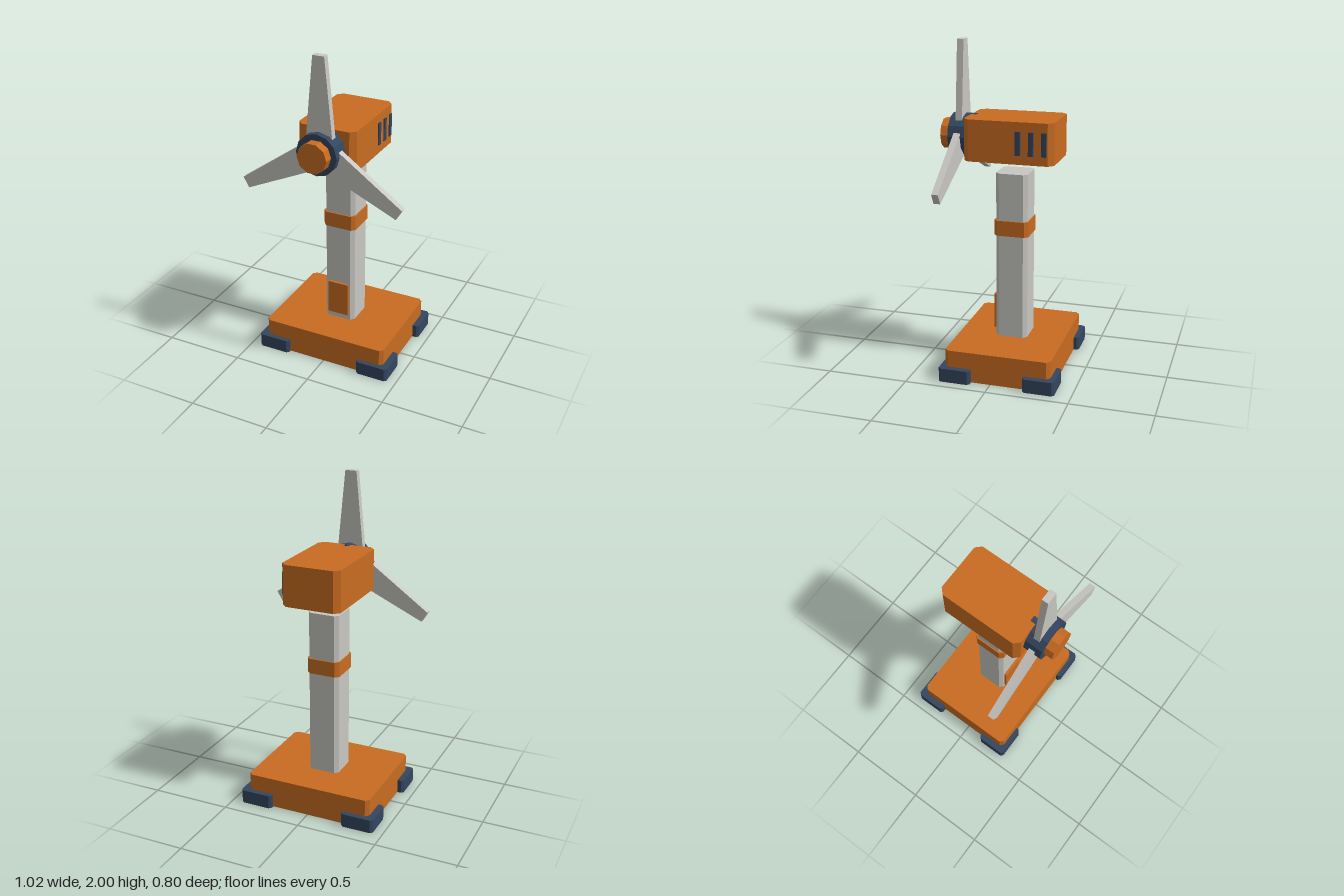
import * as THREE from 'three';

const mat = (name, color) => {
  const m = new THREE.MeshStandardMaterial({ color, flatShading: true });
  m.name = name;
  return m;
};

export function createModel() {
  const model = new THREE.Group();
  model.name = 'windTurbine';
  const orange = mat('orange', 0xc96c21);
  const grey = mat('lightGrey', 0xc8c7c2);
  const navy = mat('navy', 0x34465f);

  const add = (parent, name, geometry, material) => {
    const mesh = new THREE.Mesh(geometry, material);
    mesh.name = name;
    parent.add(mesh);
    return mesh;
  };

  // Upright block with its four vertical edges cut by c
  const block = (name, material, [x0, x1], [y0, y1], [z0, z1], c) => {
    const s = new THREE.Shape([
      [x0 + c, -z1], [x1 - c, -z1], [x1, -z1 + c], [x1, -z0 - c],
      [x1 - c, -z0], [x0 + c, -z0], [x0, -z0 - c], [x0, -z1 + c],
    ].map(([x, y]) => new THREE.Vector2(x, y)));
    const g = new THREE.ExtrudeGeometry(s, { depth: y1 - y0, bevelEnabled: false });
    g.rotateX(-Math.PI / 2).translate(0, y0, 0);
    return add(model, name, g, material);
  };

  // Base and corner feet
  block('base', orange, [-0.402, 0.402], [0.001, 0.19], [-0.367, 0.285], 0.022);
  for (const x of [[-0.441, -0.235], [0.235, 0.441]])
    for (const z of [[-0.4, -0.205], [0.119, 0.314]])
      block('foot', navy, x, [0, 0.085], z, 0.015);

  // Tower with band and door
  block('tower', grey, [-0.098, 0.098], [0.19, 1.224], [-0.139, 0.057], 0.023);
  block('towerBand', orange, [-0.105, 0.105], [0.84, 0.934], [-0.146, 0.066], 0.022);
  block('door', orange, [-0.068, 0.068], [0.23, 0.45], [0.055, 0.074], 0.002);

  // Nacelle with vents on one side
  block('nacelle', orange, [-0.183, 0.183], [1.306, 1.556], [-0.316, 0.23], 0.033);
  for (const z of [-0.262, -0.184, -0.106])
    block('vent', navy, [0.178, 0.19], [1.36, 1.5], [z - 0.016, z + 0.016], 0.002);

  // Rotor: hub, nose and three tapered blades
  const rotor = new THREE.Group();
  rotor.name = 'rotor';
  rotor.position.y = 1.433;
  model.add(rotor);
  const disc = (name, material, r, z0, z1, sides, start) => {
    const g = new THREE.CylinderGeometry(r, r, z1 - z0, sides, 1, false, start);
    g.rotateX(Math.PI / 2).translate(0, 0, (z0 + z1) / 2);
    add(rotor, name, g, material);
  };
  disc('hub', navy, 0.128, 0.197, 0.343, 12, 0);
  disc('nose', orange, 0.093, 0.34, 0.4, 10, Math.PI / 10);

  const outline = new THREE.Shape([[-0.084, 0.07], [0.084, 0.07], [0.036, 0.567], [-0.036, 0.567]]
    .map(([x, y]) => new THREE.Vector2(x, y)));
  const bladeGeometry = new THREE.ExtrudeGeometry(outline, { depth: 0.04, bevelEnabled: false });
  for (let i = 0; i < 3; i++) {
    const blade = add(rotor, 'blade', bladeGeometry, grey);
    blade.position.z = 0.265;
    blade.rotation.z = (i * Math.PI * 2) / 3;
  }
  return model;
}
